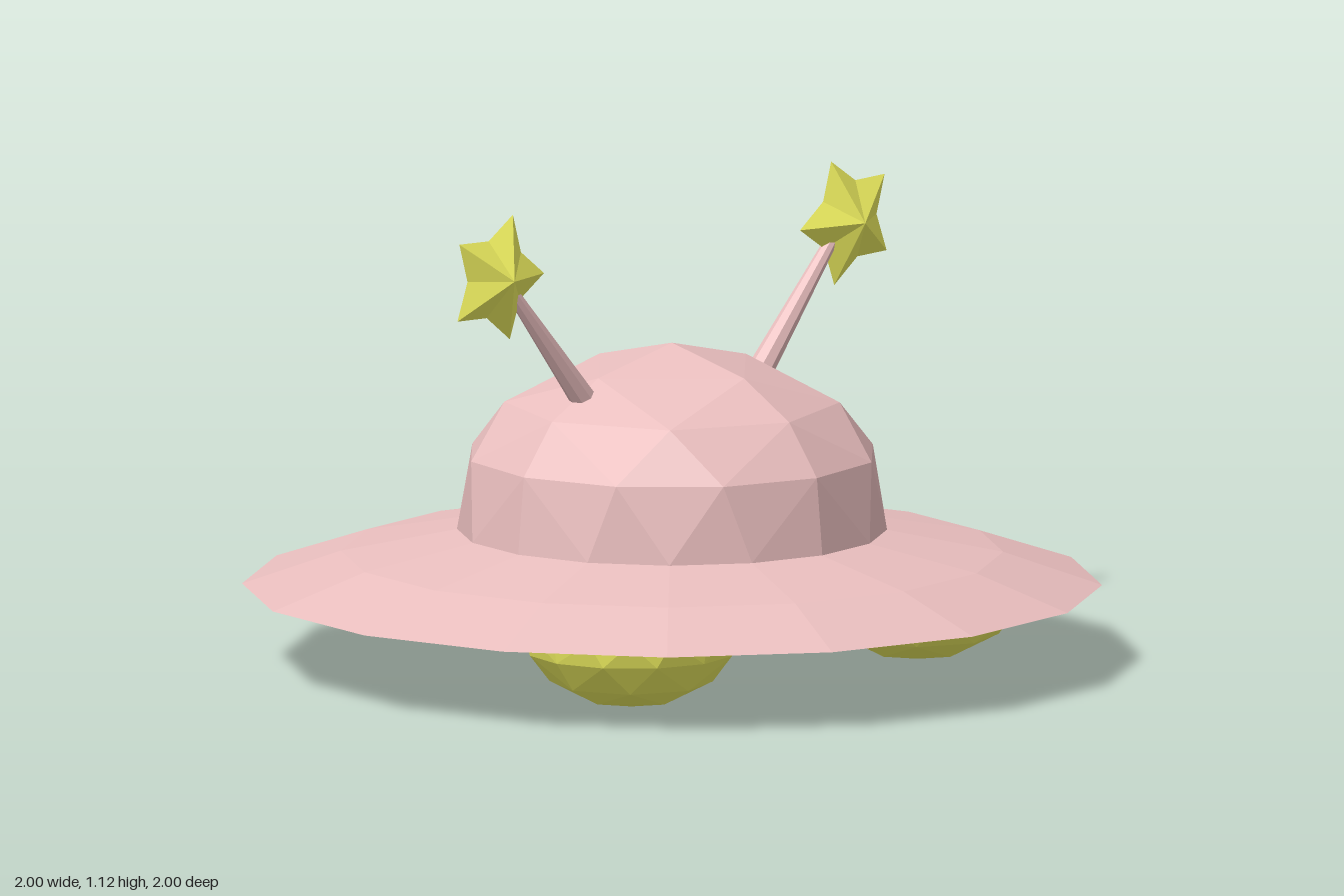
import * as THREE from 'three';

const pink = new THREE.MeshStandardMaterial({ color: 0xe9bebe, flatShading: true });
const yellow = new THREE.MeshStandardMaterial({ color: 0xeeee60, flatShading: true });

function addMesh(parent, name, geometry, material) {
  const mesh = new THREE.Mesh(geometry, material);
  mesh.name = name;
  parent.add(mesh);
  return mesh;
}

// Faceted half ball: upper half of a subdivided octahedron (rings of 16, 12, 8, 4, 1 corners)
// with each ring moved to its own [radius, height]
function domeGeometry(rings) {
  const source = new THREE.OctahedronGeometry(1, 3).getAttribute('position');
  const out = [];
  for (let i = 0; i < source.count; i += 3) {
    if ([0, 1, 2].some((k) => source.getY(i + k) < -0.001)) continue;
    for (let k = 0; k < 3; k++) {
      const x = source.getX(i + k), y = source.getY(i + k), z = source.getZ(i + k);
      const flat = Math.abs(x) + Math.abs(z);
      const [r, h] = rings[Math.round((4 * Math.abs(y)) / (flat + Math.abs(y)))];
      const a = flat > 1e-6 ? (Math.abs(z) / flat) * Math.PI / 2 : 0;
      out.push(Math.sign(x) * r * Math.cos(a), h, Math.sign(z) * r * Math.sin(a));
    }
  }
  const geometry = new THREE.BufferGeometry();
  geometry.setAttribute('position', new THREE.Float32BufferAttribute(out, 3));
  geometry.computeVertexNormals();
  return geometry;
}

// Five-pointed star swelling to a peak on the front and the back
function starGeometry(outer, inner, depth, startAngle) {
  const rim = [];
  for (let i = 0; i < 10; i++) {
    const a = startAngle + (i * Math.PI) / 5;
    const r = i % 2 ? inner : outer;
    rim.push([r * Math.cos(a), r * Math.sin(a), 0]);
  }
  const out = [];
  rim.forEach((p, i) => {
    const q = rim[(i + 1) % 10];
    out.push(0, 0, depth, ...p, ...q, 0, 0, -depth, ...q, ...p);
  });
  const geometry = new THREE.BufferGeometry();
  geometry.setAttribute('position', new THREE.Float32BufferAttribute(out, 3));
  geometry.computeVertexNormals();
  return geometry;
}

export function createModel() {
  const model = new THREE.Group();
  model.name = 'flyingSaucer';

  // Sloping disc with a flat underside
  const profile = [[0, 0.19], [1, 0.19], [0.77, 0.268], [0.47, 0.325], [0, 0.325]];
  const discGeometry = new THREE.LatheGeometry(profile.map(([r, y]) => new THREE.Vector2(r, y)), 16);
  addMesh(model, 'disc', discGeometry, pink);

  // Cabin dome
  const dome = domeGeometry([[0.5, 0], [0.482, 0.18], [0.39, 0.3], [0.24, 0.385], [0, 0.44]]);
  addMesh(model, 'dome', dome, pink).position.y = 0.32;

  // Three round lamps under the disc
  const lamp = domeGeometry([[0.255, 0], [0.243, 0.06], [0.19, 0.13], [0.11, 0.172], [0, 0.19]]);
  for (const [x, z] of [[-0.465, 0.34], [0.465, 0.34], [0, -0.485]]) {
    const mesh = addMesh(model, 'lamp', lamp, yellow);
    mesh.position.set(x, 0.19, z);
    mesh.rotation.x = Math.PI;
  }

  // Pair of antennas, each with a star at the tip
  for (const side of [-1, 1]) {
    const antenna = new THREE.Group();
    antenna.name = side > 0 ? 'leftAntenna' : 'rightAntenna';
    model.add(antenna);
    const base = new THREE.Vector3(side * 0.27, 0.64, 0);
    const tip = new THREE.Vector3(side * 0.54, 0.965, 0);
    const along = tip.clone().sub(base);
    const rod = addMesh(antenna, 'antennaRod', new THREE.CylinderGeometry(0.014, 0.032, along.length(), 8), pink);
    rod.position.copy(base).add(tip).multiplyScalar(0.5);
    rod.quaternion.setFromUnitVectors(new THREE.Vector3(0, 1, 0), along.normalize());

    const angle = Math.PI / 2 + side * THREE.MathUtils.degToRad(20);
    const star = addMesh(antenna, 'star', starGeometry(0.154, 0.095, 0.06, angle), yellow);
    star.position.set(side * 0.57, 0.98, 0);
  }

  return model;
}
